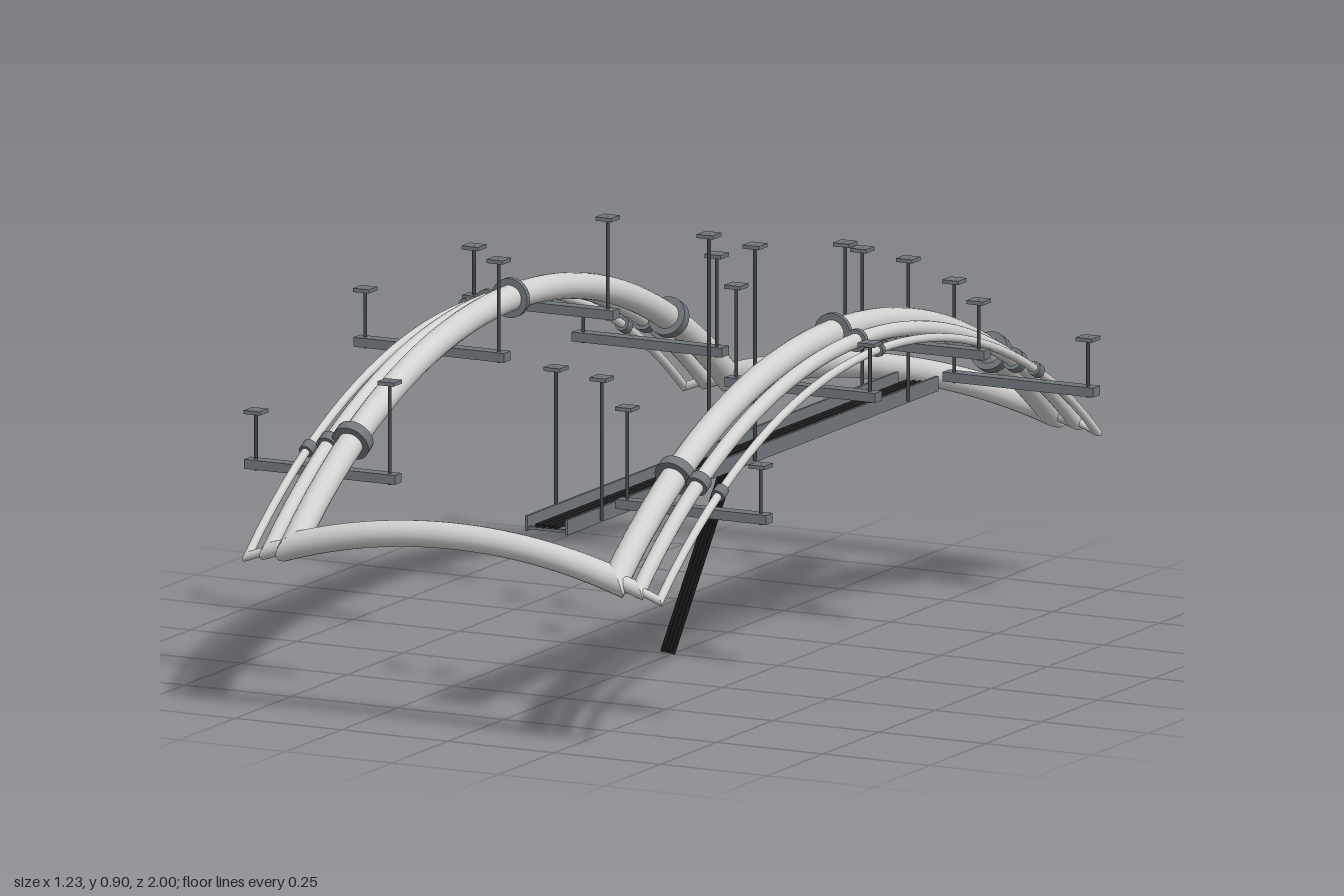
import * as THREE from 'three';

const V = (x, y, z) => new THREE.Vector3(x, y, z);

function mat(name, color, side = THREE.FrontSide) {
  const m = new THREE.MeshStandardMaterial({ color, side });
  m.name = name;
  return m;
}

// Circular arc through apex height `top` and end height `end` at +-half
function arcHeight(half, top, end) {
  const s = top - end;
  const R = (half * half + s * s) / (2 * s);
  return (u) => ({ y: top - R + Math.sqrt(R * R - u * u), slope: -u / Math.sqrt(R * R - u * u) });
}

// Round pipe swept along a planar arc, its ends cut on mitre planes
function pipeSpan(at, half, axis, r, mitres, steps = 36, sides = 20) {
  const pos = [], index = [];
  for (let i = 0; i <= steps; i++) {
    const { c, t } = at(-half + (2 * half * i) / steps);
    const n = axis.clone().cross(t).normalize();
    const cut = i === 0 ? mitres[0] : i === steps ? mitres[1] : null;
    for (let j = 0; j < sides; j++) {
      const a = (j / sides) * Math.PI * 2;
      const o = n.clone().multiplyScalar(Math.cos(a) * r).addScaledVector(axis, Math.sin(a) * r);
      if (cut) o.addScaledVector(t, -o.dot(cut) / t.dot(cut));
      pos.push(c.x + o.x, c.y + o.y, c.z + o.z);
      if (i < steps) {
        const k = (j + 1) % sides, p = i * sides, q = p + sides;
        index.push(p + j, q + j, p + k, p + k, q + j, q + k);
      }
    }
  }
  const g = new THREE.BufferGeometry();
  g.setAttribute('position', new THREE.Float32BufferAttribute(pos, 3));
  g.setIndex(index);
  g.computeVertexNormals();
  return g;
}

export function createModel() {
  const root = new THREE.Group();
  root.name = 'pipeLoopsAndCableTray';
  const pipeMat = mat('pipeGrey', 0xd2d2d0, THREE.DoubleSide);
  const steel = mat('steelGrey', 0x70787c);
  const rodMat = mat('darkRod', 0x43484b);
  const black = mat('cableBlack', 0x1b1b1c);

  const add = (parent, name, geo, material, x = 0, y = 0, z = 0) => {
    const m = new THREE.Mesh(geo, material);
    m.name = name;
    m.position.set(x, y, z);
    parent.add(m);
    return m;
  };
  const box = (p, name, m, w, h, d, x, y, z) => add(p, name, new THREE.BoxGeometry(w, h, d), m, x, y, z);
  const rodBetween = (p, name, m, a, b, r, sides = 8) => {
    const d = b.clone().sub(a);
    const c = a.clone().add(b).multiplyScalar(0.5);
    const mesh = add(p, name, new THREE.CylinderGeometry(r, r, d.length(), sides), m, c.x, c.y, c.z);
    mesh.quaternion.setFromUnitVectors(V(0, 1, 0), d.normalize());
    return mesh;
  };

  // Three nested pipe loops: arched long sides joined by arched end pipes
  const loops = [
    { name: 'large', x: 0.379, z: 0.97, r: 0.028, top: 0.72, end: 0.373, ring: 0.042 },
    { name: 'medium', x: 0.434, z: 0.972, r: 0.016, top: 0.709, end: 0.358, ring: 0.024 },
    { name: 'small', x: 0.484, z: 0.974, r: 0.009, top: 0.694, end: 0.341, ring: 0.015 },
  ];
  for (const L of loops) {
    const group = new THREE.Group();
    group.name = L.name + 'PipeLoop';
    root.add(group);
    const longArc = arcHeight(L.z, L.top, L.end);
    const endArc = arcHeight(L.x, 0.43, L.end);
    const longAt = (sx) => (u) => {
      const { y, slope } = longArc(u);
      return { c: V(sx * L.x, y, u), t: V(0, slope, 1).normalize() };
    };
    const endAt = (sz) => (u) => {
      const { y, slope } = endArc(u);
      return { c: V(u, y, sz * L.z), t: V(1, slope, 0).normalize() };
    };
    // Mitre plane normal: halves the turn between the two pipes at a corner
    const mitre = (sx, sz) => {
      const a = longAt(sx)(sz * L.z).t.multiplyScalar(sz);
      const b = endAt(sz)(sx * L.x).t.multiplyScalar(sx);
      return a.sub(b).normalize();
    };
    for (const s of [-1, 1]) {
      add(group, 'longPipe', pipeSpan(longAt(s), L.z, V(1, 0, 0), L.r, [mitre(s, -1), mitre(s, 1)]), pipeMat);
      add(group, 'endPipe', pipeSpan(endAt(s), L.x, V(0, 0, -1), L.r, [mitre(-1, s), mitre(1, s)]), pipeMat);
      // Coupling rings around the long pipes
      for (const z of [-0.705, 0, 0.705]) {
        const { c, t } = longAt(s)(z);
        const h = z ? 0.012 : 0.006;
        rodBetween(group, 'couplingRing', steel,
          c.clone().addScaledVector(t, -h), c.clone().addScaledVector(t, h), L.ring, 24);
      }
    }
  }

  // Threaded rod with a square ceiling plate
  const hanger = (p, x, z, low, high) => {
    rodBetween(p, 'hangerRod', rodMat, V(x, low, z), V(x, high, z), 0.004);
    box(p, 'ceilingPlate', steel, 0.038, 0.008, 0.038, x, high - 0.004, z);
  };

  // Trapeze supports beneath the pipes
  for (const s of [-1, 1]) {
    for (const z of [-0.73, -0.243, 0.243, 0.73]) {
      const g = new THREE.Group();
      g.name = 'trapezeSupport';
      root.add(g);
      const y = Math.abs(z) > 0.5 ? 0.482 : 0.651;
      box(g, 'supportBar', steel, 0.354, 0.02, 0.03, s * 0.436, y, z);
      hanger(g, s * 0.593, z, y - 0.014, y + 0.115);
      hanger(g, s * 0.279, z, y - 0.014, y + 0.207);
    }
  }

  // Cable ladder: side rails, rungs and cables
  const tray = new THREE.Group();
  tray.name = 'cableTray';
  root.add(tray);
  const trayX = 0.14, trayLen = 1.655;
  for (const s of [-1, 1]) {
    box(tray, 'sideRail', steel, 0.006, 0.032, trayLen, trayX + s * 0.047, 0.44, 0);
  }
  const rungs = 29;
  for (let i = 0; i < rungs; i++) {
    const z = (i / (rungs - 1) - 0.5) * (trayLen - 0.02);
    box(tray, 'rung', steel, 0.09, 0.006, 0.01, trayX, 0.43, z);
  }
  for (let i = 0; i < 4; i++) {
    const o = i - 1.5;
    const x = trayX + o * 0.014;
    rodBetween(tray, 'trayCable', black, V(x, 0.438, -trayLen / 2), V(x, 0.438, trayLen / 2), 0.005);
    // Cables dropping from the tray to the floor
    rodBetween(tray, 'dropCable', black,
      V(-0.01 + o * 0.0085, 0.003 - o * 0.001, 0), V(trayX + o * 0.0085, 0.436, 0), 0.0045);
  }
  for (const z of [-0.683, 0, 0.683]) {
    hanger(tray, 0.087, z, 0.43, z ? 0.746 : 0.902);
    hanger(tray, 0.195, z, 0.43, z ? 0.735 : 0.89);
  }
  return root;
}
